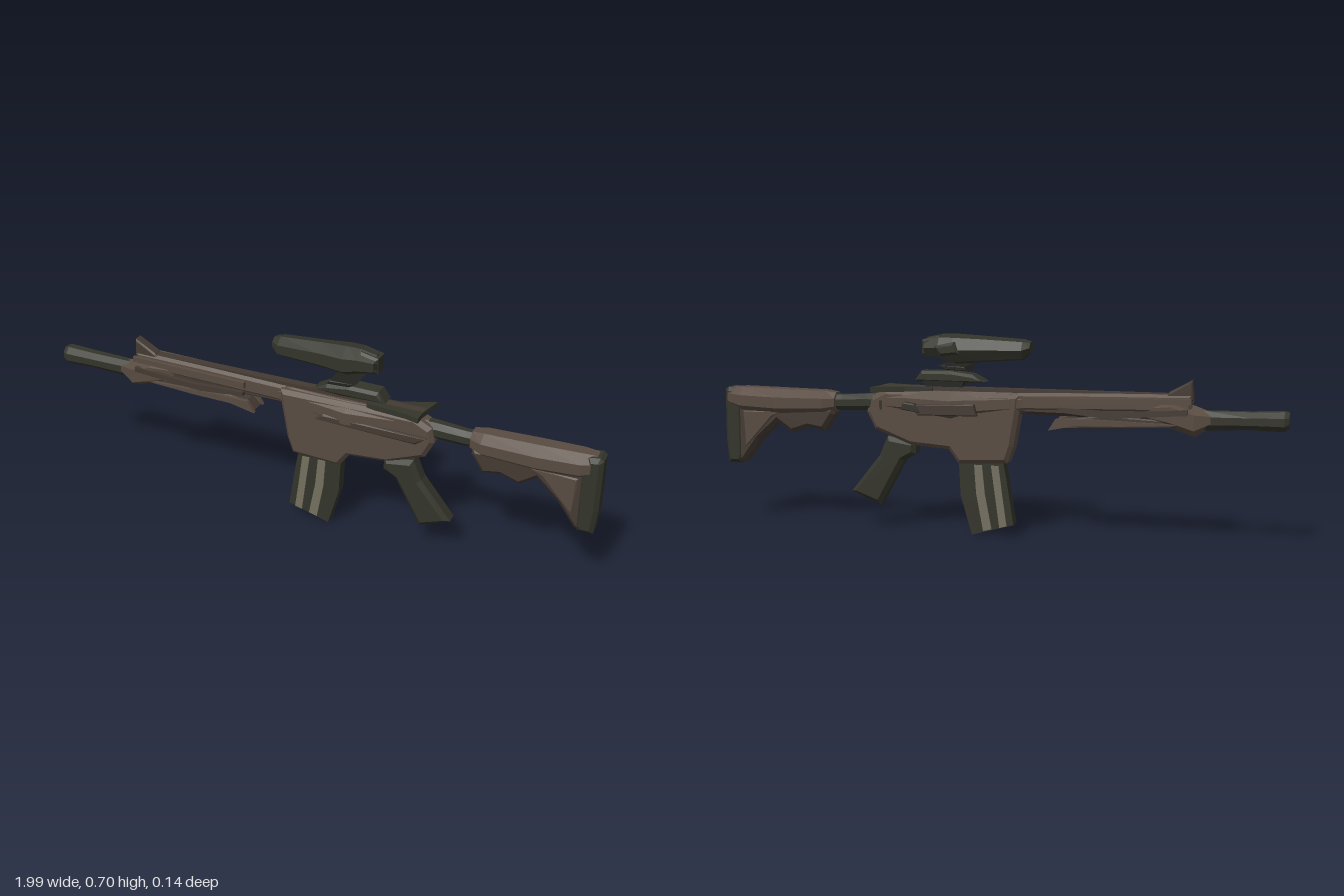
import * as THREE from 'three';

const material = (name, color) => {
  const m = new THREE.MeshStandardMaterial({ color, flatShading: true });
  m.name = name;
  return m;
};

export function createModel() {
  const model = new THREE.Group();
  model.name = 'rifle';
  const brown = material('earth brown', 0x584b41);
  const shade = material('dark brown', 0x443a33);
  const dark = material('dark olive', 0x33342a);
  const black = material('near black', 0x22231f);
  const pale = material('pale strip', 0x737060);

  const add = (name, geometry, mat) => {
    const mesh = new THREE.Mesh(geometry, mat);
    mesh.name = name;
    model.add(mesh);
  };

  // Side outline extruded between z0 and z1, with bevelled rims inside the outline.
  const plate = (name, mat, points, z0, z1, bevel = 0) => {
    const shape = new THREE.Shape(points.map(([x, y]) => new THREE.Vector2(x, y)));
    const geometry = new THREE.ExtrudeGeometry(shape, {
      depth: z1 - z0 - 2 * bevel, bevelEnabled: bevel > 0, bevelThickness: bevel,
      bevelSize: bevel, bevelOffset: -bevel, bevelSegments: 1,
    });
    geometry.translate(0, 0, z0 + bevel);
    add(name, geometry, mat);
  };

  // Chamfered body along x; each section is [x, bottom, top, zMin, zMax].
  const loft = (name, mat, sections, sides = 8) => {
    const k = 1 / Math.cos(Math.PI / sides);
    const rings = sections.map(([x, y0, y1, z0, z1]) => Array.from({ length: sides }, (_, j) => {
      const a = ((j + 0.5) / sides) * Math.PI * 2;
      return [x, (y0 + y1) / 2 + (Math.sin(a) * k * (y1 - y0)) / 2,
        (z0 + z1) / 2 + (Math.cos(a) * k * (z1 - z0)) / 2];
    }));
    const out = [];
    for (let i = 0; i + 1 < rings.length; i++) {
      for (let j = 0; j < sides; j++) {
        const n = (j + 1) % sides, p = rings[i], q = rings[i + 1];
        out.push(...p[j], ...q[j], ...p[n], ...p[n], ...q[j], ...q[n]);
      }
    }
    const first = rings[0], last = rings[rings.length - 1];
    for (let j = 1; j + 1 < sides; j++) {
      out.push(...first[0], ...first[j], ...first[j + 1]);
      out.push(...last[0], ...last[j + 1], ...last[j]);
    }
    const geometry = new THREE.BufferGeometry();
    geometry.setAttribute('position', new THREE.Float32BufferAttribute(out, 3));
    geometry.computeVertexNormals();
    add(name, geometry, mat);
  };

  // Muzzle tube and barrel
  loft('muzzleTube', dark, [
    [-1, 0.42, 0.472, -0.025, 0.027], [-0.985, 0.41, 0.475, -0.034, 0.033],
    [-0.88, 0.412, 0.47, -0.032, 0.03], [-0.74, 0.405, 0.468, -0.026, 0.026],
    [-0.66, 0.42, 0.465, -0.022, 0.022],
  ]);
  loft('barrel', shade, [[-0.7, 0.43, 0.475, -0.02, 0.02], [-0.08, 0.435, 0.48, -0.02, 0.02]], 6);

  // Handguard: central beam, nose, sight and ragged side slats
  plate('handguardBeam', brown, [[-0.69, 0.46], [-0.1, 0.445], [-0.1, 0.505], [-0.4, 0.514],
    [-0.69, 0.52]], -0.026, 0.026, 0.01);
  loft('handguardNose', brown, [
    [-0.77, 0.43, 0.455, -0.022, 0.022], [-0.7, 0.385, 0.475, -0.04, 0.045],
    [-0.62, 0.41, 0.5, -0.045, 0.05], [-0.54, 0.43, 0.48, -0.02, 0.02],
  ], 6);
  plate('frontSight', shade, [[-0.695, 0.5], [-0.6, 0.51], [-0.615, 0.525], [-0.69, 0.567]],
    -0.02, 0.022, 0.006);
  for (const side of [-1, 1]) {
    const slats = [
      [[-0.69, 0.49], [-0.25, 0.475], [-0.25, 0.497], [-0.69, 0.508]],
      [[-0.68, 0.455], [-0.42, 0.435], [-0.25, 0.45], [-0.25, 0.464], [-0.45, 0.457], [-0.68, 0.473]],
      [[-0.68, 0.422], [-0.45, 0.408], [-0.31, 0.405], [-0.215, 0.385], [-0.24, 0.425], [-0.36, 0.428],
        [-0.5, 0.424]],
    ];
    slats.forEach((points, i) => {
      const z = side * [0.038, 0.046, 0.034][i];
      plate('handguardSlat', i === 1 ? shade : brown, points, z - 0.007, z + 0.007);
    });
  }
  plate('handguardFloor', shade, [[-0.66, 0.41], [-0.22, 0.39], [-0.25, 0.42], [-0.4, 0.44],
    [-0.66, 0.43]], -0.026, 0.028, 0.004);

  // Receiver with magazine well, and its raised side panels
  plate('receiver', brown, [[-0.115, 0.5], [-0.11, 0.44], [-0.09, 0.32], [-0.07, 0.262],
    [0.105, 0.253], [0.14, 0.3], [0.28, 0.31], [0.41, 0.36], [0.44, 0.42], [0.43, 0.47],
    [0.37, 0.5]], -0.035, 0.047, 0.014);
  loft('upperReceiver', brown, [
    [-0.15, 0.44, 0.5, -0.02, 0.02], [-0.08, 0.43, 0.505, -0.036, 0.04],
    [0.08, 0.41, 0.503, -0.048, 0.056], [0.13, 0.4, 0.503, -0.058, 0.062],
    [0.3, 0.42, 0.5, -0.045, 0.048], [0.41, 0.43, 0.485, -0.03, 0.03],
  ]);
  plate('ejectionCover', shade, [[0.03, 0.425], [0.24, 0.42], [0.27, 0.455], [0.04, 0.465]],
    -0.063, -0.04, 0.004);
  plate('boltCatch', dark, [[0.23, 0.43], [0.3, 0.44], [0.29, 0.465], [0.25, 0.46]],
    -0.072, -0.03, 0.004);
  plate('sideRib', shade, [[0.02, 0.425], [0.38, 0.41], [0.42, 0.44], [0.05, 0.45]], 0.04, 0.06, 0.006);

  // Top rail with flared charging handle
  plate('topRail', shade, [[-0.66, 0.508], [0.38, 0.498], [0.39, 0.514], [0, 0.517], [-0.66, 0.52]],
    -0.014, 0.016);
  const handle = new THREE.Shape([[0.2, -0.02], [0.3, -0.025], [0.41, -0.07], [0.39, 0.025],
    [0.39, 0.065], [0.34, 0.05], [0.2, 0.035]].map(([x, z]) => new THREE.Vector2(x, -z)));
  const handleGeometry = new THREE.ExtrudeGeometry(handle, { depth: 0.018, bevelEnabled: false });
  handleGeometry.rotateX(-Math.PI / 2).translate(0, 0.495, 0);
  add('chargingHandle', handleGeometry, dark);

  // Magazine with pale strips on both sides
  plate('magazine', dark, [[-0.05, 0.28], [-0.065, 0.2], [-0.09, 0.045], [0.06, 0.002],
    [0.1, 0.14], [0.107, 0.28]], -0.016, 0.026);
  for (const z of [-0.02, 0.025]) {
    plate('magazineStrip', pale, [[-0.037, 0.25], [-0.05, 0.15], [-0.066, 0.04], [-0.04, 0.033],
      [-0.024, 0.15], [-0.01, 0.25]], z, z + 0.005);
    plate('magazineStrip', pale, [[0.022, 0.25], [0.012, 0.15], [-0.012, 0.026], [0.018, 0.018],
      [0.043, 0.15], [0.05, 0.25]], z, z + 0.005);
  }

  // Pistol grip
  plate('grip', dark, [[0.265, 0.32], [0.265, 0.275], [0.31, 0.25], [0.4, 0.087], [0.508, 0.13],
    [0.4, 0.265], [0.37, 0.335]], -0.024, 0.045, 0.015);

  // Tube joining receiver and stock
  loft('stockTube', dark, [
    [0.38, 0.41, 0.485, -0.036, 0.036], [0.44, 0.425, 0.482, -0.03, 0.03],
    [0.54, 0.42, 0.475, -0.024, 0.026], [0.6, 0.42, 0.475, -0.024, 0.026],
  ]);

  // Stock: faceted comb, lower web and butt pad
  loft('stockComb', brown, [
    [0.56, 0.415, 0.482, -0.035, 0.038], [0.6, 0.405, 0.487, -0.052, 0.056],
    [0.78, 0.395, 0.489, -0.058, 0.06], [0.92, 0.4, 0.491, -0.052, 0.054],
    [0.975, 0.42, 0.488, -0.036, 0.038],
  ]);
  plate('stockWeb', shade, [[0.565, 0.43], [0.565, 0.405], [0.605, 0.345], [0.665, 0.355],
    [0.73, 0.333], [0.785, 0.37], [0.86, 0.3], [0.92, 0.218], [0.95, 0.218], [0.95, 0.44]],
    -0.032, 0.04, 0.014);
  plate('stockSidePanel', brown, [[0.76, 0.41], [0.8, 0.385], [0.91, 0.27], [0.92, 0.41]],
    -0.036, 0.045, 0.008);
  plate('buttPad', dark, [[0.92, 0.24], [0.93, 0.213], [0.982, 0.213], [0.99, 0.3], [0.988, 0.48],
    [0.975, 0.49], [0.94, 0.485], [0.918, 0.43]], -0.036, 0.045, 0.014);

  // Optic body, lens and turret
  loft('optic', dark, [
    [-0.145, 0.64, 0.677, -0.02, 0.03], [-0.12, 0.617, 0.682, -0.035, 0.045],
    [0.03, 0.606, 0.69, -0.042, 0.05], [0.12, 0.598, 0.694, -0.055, 0.06],
    [0.17, 0.612, 0.693, -0.05, 0.055], [0.225, 0.62, 0.682, -0.035, 0.045],
  ], 7);
  loft('opticLens', black, [[0.222, 0.63, 0.675, -0.026, 0.036], [0.23, 0.63, 0.675, -0.026, 0.036]], 7);
  plate('opticTurret', dark, [[0.09, 0.635], [0.16, 0.625], [0.18, 0.66], [0.11, 0.675]],
    -0.066, 0, 0.01);
  plate('opticRearHood', dark, [[0.16, 0.65], [0.235, 0.622], [0.235, 0.678], [0.17, 0.693]],
    -0.03, 0.035, 0.008);

  // Floating clamp plate and mount
  plate('clampPlate', black, [[0.07, 0.575], [0.15, 0.578], [0.175, 0.592], [0.08, 0.589]],
    -0.035, 0.072, 0.003);
  plate('opticMount', dark, [[0.015, 0.536], [0.11, 0.528], [0.27, 0.532], [0.245, 0.568],
    [0.14, 0.57], [0.06, 0.56]], -0.013, 0.055, 0.01);
  plate('mountFoot', black, [[0.1, 0.505], [0.22, 0.505], [0.24, 0.535], [0.09, 0.535]], -0.01, 0.014);

  return model;
}
